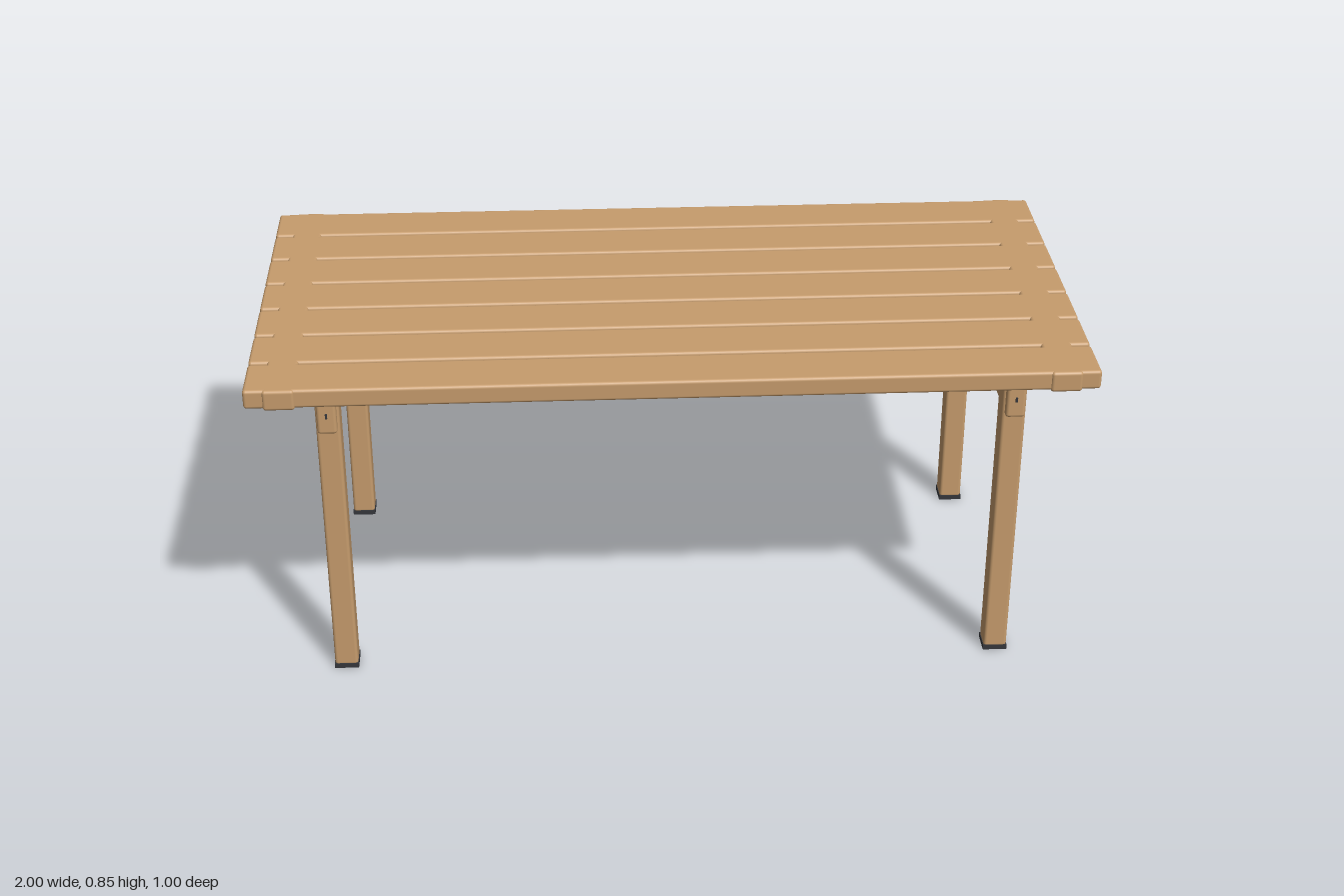
import * as THREE from 'three';
import { RoundedBoxGeometry } from 'three/addons/geometries/RoundedBoxGeometry.js';

const wood = new THREE.MeshStandardMaterial({ color: 0xc69c6d });
wood.name = 'wood';
const rubber = new THREE.MeshStandardMaterial({ color: 0x35373c });
rubber.name = 'dark rubber';

export function createModel() {
  const table = new THREE.Group();
  table.name = 'slattedTable';

  const add = (name, geometry, material, x, y, z) => {
    const mesh = new THREE.Mesh(geometry, material);
    mesh.name = name;
    mesh.position.set(x, y, z);
    table.add(mesh);
    return mesh;
  };
  // Rounded timber spanning y0 to y1
  const timber = (name, width, y0, y1, depth, radius, x, z) =>
    add(name, new RoundedBoxGeometry(width, y1 - y0, depth, 3, radius), wood, x, (y0 + y1) / 2, z);

  // Seven long planks of the top
  for (let i = 0; i < 7; i++) {
    timber('plank', 2, 0.797, 0.845, 0.134, 0.008, 0, (i - 3) * 0.143);
  }

  // Square foot ring, open in the middle
  const s = 0.03, h = 0.018;
  const ring = new THREE.Shape([[-s, -s], [s, -s], [s, s], [-s, s]].map(p => new THREE.Vector2(...p)));
  ring.holes.push(new THREE.Path([[-h, -h], [-h, h], [h, h], [h, -h]].map(p => new THREE.Vector2(...p))));
  const footGeometry = new THREE.ExtrudeGeometry(ring, { depth: 0.013, bevelEnabled: false });
  footGeometry.rotateX(-Math.PI / 2);
  const recessGeometry = new THREE.BoxGeometry(2 * h, 0.005, 2 * h);

  for (const side of [-1, 1]) {
    // Cleat crossing the planks near each end
    timber('endCleat', 0.075, 0.793, 0.845, 1, 0.008, side * 0.918, 0);

    // Rail passing through both legs
    timber('crossRail', 0.047, 0.68, 0.77, 0.828, 0.008, side * 0.82, 0);
    add('railPin', new THREE.BoxGeometry(0.005, 0.012, 0.006), rubber, side * 0.82, 0.73, 0.415);

    for (const end of [-1, 1]) {
      const x = side * 0.819, z = end * 0.37;
      timber('leg', 0.058, 0.008, 0.794, 0.058, 0.008, x, z);
      add('foot', footGeometry, rubber, x, 0, z);
      add('footRecess', recessGeometry, rubber, x, 0.008, z);
    }
  }
  return table;
}
